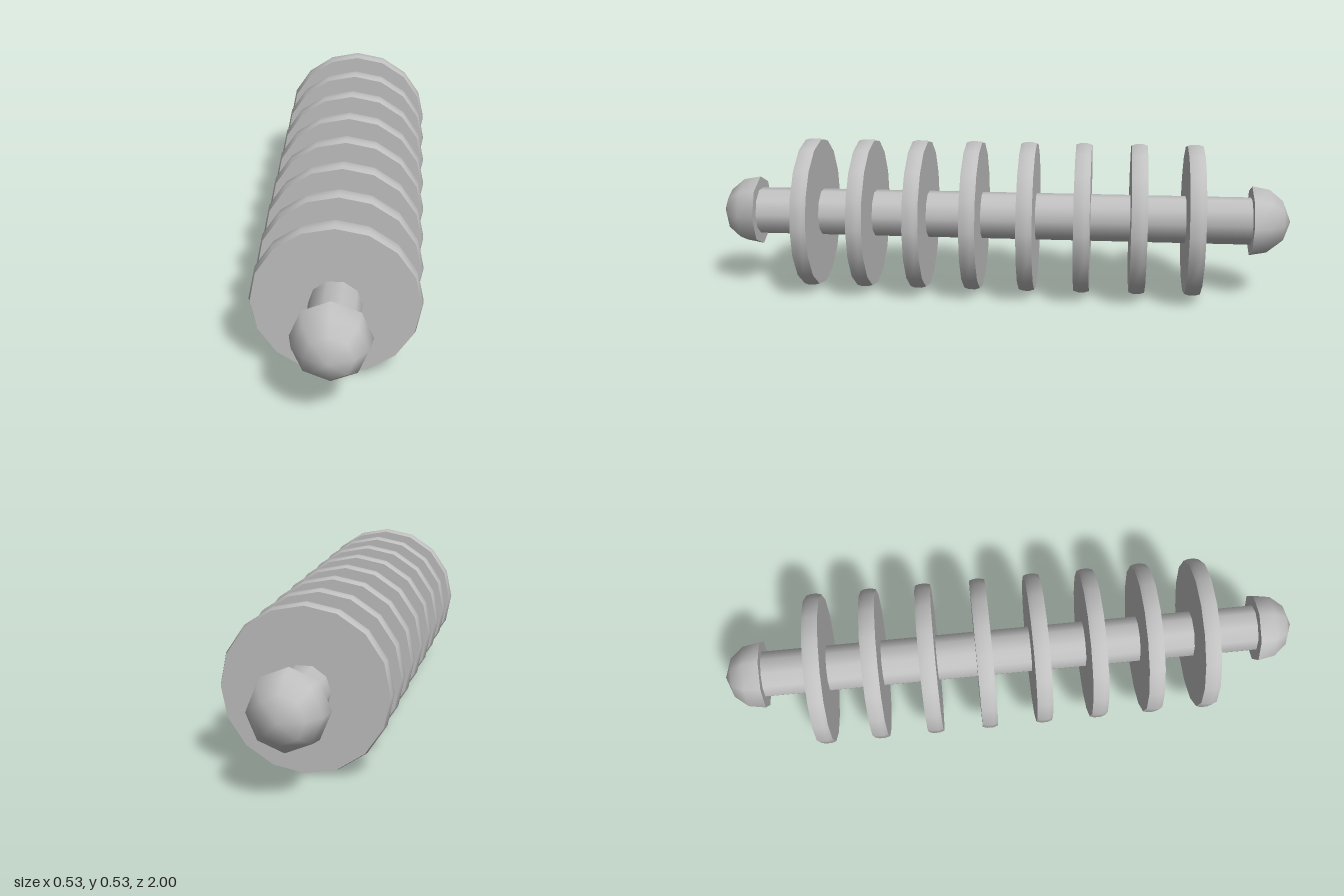
import * as THREE from 'three';
import { toCreasedNormals } from 'three/addons/utils/BufferGeometryUtils.js';

const CENTER_Y = 0.266;

// Turned part along z from [radius, z] points, with z increasing
function turned(points, sides, phase = 0) {
  const profile = points.map(([r, z]) => new THREE.Vector2(r, z));
  const geometry = new THREE.LatheGeometry(profile, sides, phase);
  geometry.rotateX(Math.PI / 2);
  return toCreasedNormals(geometry, 0.9);
}

export function createModel() {
  const model = new THREE.Group();
  model.name = 'ribbedRod';
  const grey = new THREE.MeshStandardMaterial({ color: 0xc0c0c0 });
  grey.name = 'light grey';

  const add = (name, geometry, z = 0) => {
    const mesh = new THREE.Mesh(geometry, grey);
    mesh.name = name;
    mesh.position.set(0, CENTER_Y, z);
    model.add(mesh);
    return mesh;
  };

  // Central rod, ten-sided with a flat on top
  add('rod', turned([[0, -0.88], [0.082, -0.88], [0.082, 0.88], [0, 0.88]], 10, Math.PI / 2));

  // Eight evenly spaced discs with a slightly bevelled rim
  const disc = turned([
    [0, -0.027], [0.259, -0.027], [0.264, -0.011],
    [0.264, 0.011], [0.259, 0.027], [0, 0.027],
  ], 16);
  for (let i = 0; i < 8; i++) add('disc' + (i + 1), disc, (3.5 - i) * 0.1906);

  // Domed end caps
  const cap = turned([
    [0, 0.865], [0.123, 0.865], [0.112, 0.924], [0.073, 0.971], [0, 1],
  ], 8);
  add('frontCap', cap);
  add('backCap', cap).rotation.y = Math.PI;

  return model;
}
